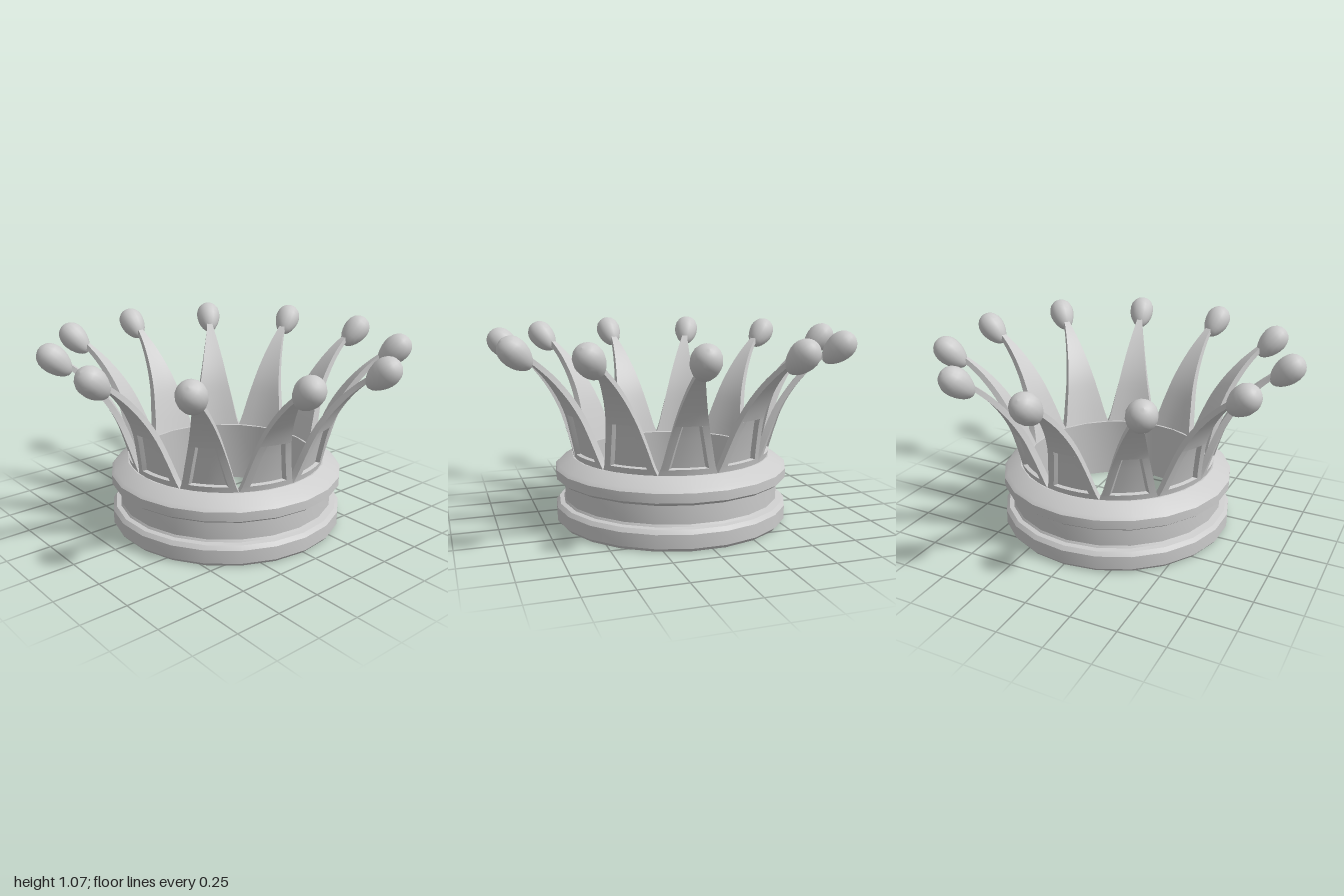
import * as THREE from 'three';
import { toCreasedNormals } from 'three/addons/utils/BufferGeometryUtils.js';

const POINTS = 11;
const material = new THREE.MeshStandardMaterial({ color: 0xcccccc });

// Centre line of one point: outer radius, height, half width
const spine = new THREE.CatmullRomCurve3([
  [0.55, 0.365, 0.157], [0.557, 0.4, 0.143], [0.588, 0.52, 0.115], [0.625, 0.635, 0.088],
  [0.68, 0.74, 0.064], [0.755, 0.84, 0.04], [0.82, 0.905, 0.023], [0.88, 0.955, 0.013],
].map((p) => new THREE.Vector3(...p)));
const LAST = 7;          // index of the last spine point
const PANEL = [1, 3];    // spine points between which the panel is sunk
const RECESS = 0.022;

const halfWidth = (k) => spine.getPoint(k / LAST).z;
const panelWidth = (k) => halfWidth(k) - 0.038;
const thickness = (k) => 0.04 - 0.015 * k / LAST;

// Point on the spike: k along the spine, s sideways, d inwards from the outer face
function spikePoint(k, s, d) {
  const p = spine.getPoint(k / LAST);
  const t = spine.getTangent(k / LAST);
  const len = Math.hypot(t.x, t.y);
  const r = p.x - d * t.y / len;
  const angle = s / p.x;
  return [r * Math.sin(angle), p.y + d * t.x / len, r * Math.cos(angle)];
}

function spikeGeometry() {
  const pos = [];
  // Grid of quads; f(u, v) with u to the right and v up as seen from its front
  function patch(f, nu, nv) {
    for (let i = 0; i < nu; i++) {
      for (let j = 0; j < nv; j++) {
        const a = f(i / nu, j / nv), b = f((i + 1) / nu, j / nv);
        const c = f((i + 1) / nu, (j + 1) / nv), d = f(i / nu, (j + 1) / nv);
        pos.push(...a, ...b, ...c, ...a, ...c, ...d);
      }
    }
  }
  // Walls between consecutive corners [s, d] of a cross-section, from k0 to k1
  function loft(section, k0, k1) {
    for (let e = 0; e < section(k0).length - 1; e++) {
      patch((u, v) => {
        const k = k0 + (k1 - k0) * v;
        const [p, q] = section(k).slice(e, e + 2);
        return spikePoint(k, p[0] + (q[0] - p[0]) * u, p[1] + (q[1] - p[1]) * u);
      }, 4, Math.round((k1 - k0) * 3));
    }
  }
  const back = (k) => {
    const w = halfWidth(k), t = thickness(k);
    return [[w, 0], [w, t], [-w, t], [-w, 0]];
  };
  const plain = (k) => [[-halfWidth(k), 0], ...back(k)];
  const sunk = (k) => {
    const p = panelWidth(k), q = p - 0.012;
    return [[-halfWidth(k), 0], [-p, 0], [-q, RECESS], [q, RECESS], [p, 0], ...back(k)];
  };
  loft(plain, 0, PANEL[0]);
  loft(sunk, ...PANEL);
  loft(plain, PANEL[1], LAST);
  // Lower and upper ledges of the panel
  PANEL.forEach((k, n) => patch((u, v) => {
    const depth = n === 0 ? v : 1 - v;
    const w = panelWidth(k) - 0.012 * depth;
    return spikePoint(k, (2 * u - 1) * w, RECESS * depth);
  }, 4, 1));

  const geo = new THREE.BufferGeometry();
  geo.setAttribute('position', new THREE.Float32BufferAttribute(pos, 3));
  return toCreasedNormals(geo, 0.5);
}

// Egg-shaped bead, wider at its upper end
function beadGeometry() {
  const profile = [];
  for (let i = 0; i <= 12; i++) {
    const a = Math.PI * i / 12;
    const r = 0.073 * Math.sin(a) * (1 - 0.2 * Math.cos(a));
    profile.push(new THREE.Vector2(Math.max(r, 0), -0.105 * Math.cos(a)));
  }
  return new THREE.LatheGeometry(profile, 16);
}

function bandGeometry() {
  const profile = [
    [0.53, 0], [0.64, 0], [0.655, 0.018], [0.655, 0.092], [0.637, 0.113], [0.612, 0.118],
    [0.605, 0.13], [0.605, 0.228], [0.635, 0.24], [0.655, 0.255], [0.655, 0.305],
    [0.637, 0.322], [0.56, 0.368], [0.51, 0.368], [0.53, 0],
  ].map((p) => new THREE.Vector2(...p));
  return toCreasedNormals(new THREE.LatheGeometry(profile, POINTS * 2), 0.4);
}

export function createModel() {
  const crown = new THREE.Group();
  crown.name = 'crown';

  const add = (parent, geo, name) => {
    const mesh = new THREE.Mesh(geo, material);
    mesh.name = name;
    parent.add(mesh);
    return mesh;
  };

  add(crown, bandGeometry(), 'band');

  // Ring of flared points, each tipped with a bead
  const spike = spikeGeometry();
  const bead = beadGeometry();
  for (let i = 0; i < POINTS; i++) {
    const point = new THREE.Group();
    point.name = 'crownPoint';
    point.rotation.y = Math.PI + i * 2 * Math.PI / POINTS;
    add(point, spike, 'spike');
    const tip = add(point, bead, 'bead');
    tip.position.set(0, 0.977, 0.918);
    tip.rotation.x = 0.8;
    crown.add(point);
  }

  crown.position.z = 0.02;
  const model = new THREE.Group();
  model.add(crown);
  return model;
}
